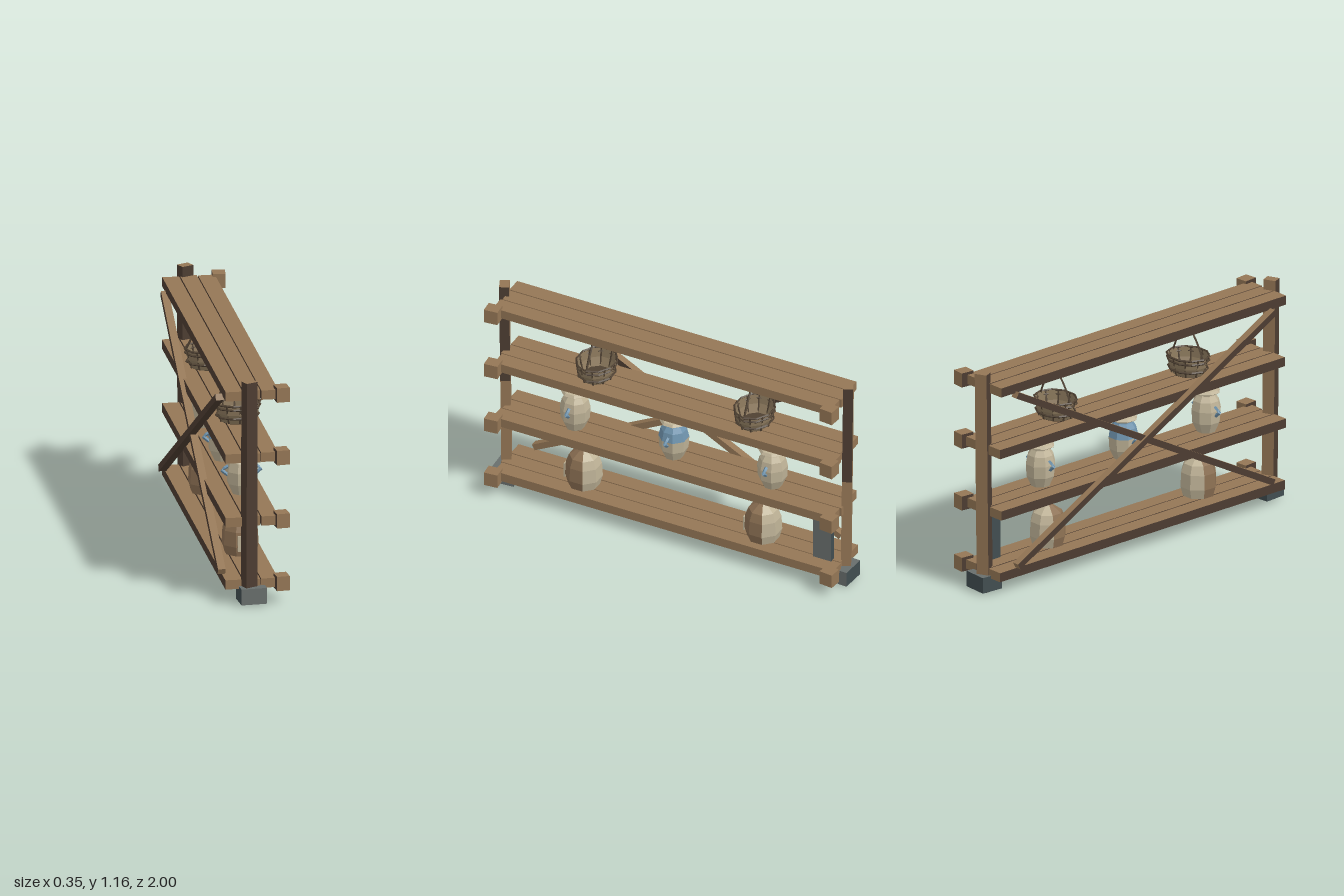
import * as THREE from 'three';

const mat = (name, color, side = THREE.FrontSide) =>
  Object.assign(new THREE.MeshStandardMaterial({ color, flatShading: true, side }), { name });

export function createModel() {
  const root = new THREE.Group();
  const wood = mat('timber', 0x947655);
  const darkWood = mat('darkTimber', 0x4c3c31);
  const stone = mat('greyStone', 0x686e6c);
  const slate = mat('darkSlate', 0x414d50);
  const clay = mat('creamClay', 0xbfb397, THREE.DoubleSide);
  const blue = mat('blueGlaze', 0x6f94ae, THREE.DoubleSide);
  const sack = mat('sackcloth', 0x8c7053, THREE.DoubleSide);
  const wicker = mat('wicker', 0x8c795d, THREE.DoubleSide);
  const darkWicker = mat('darkWicker', 0x4f4132, THREE.DoubleSide);

  const add = (parent, name, geometry, material, x = 0, y = 0, z = 0) => {
    const m = new THREE.Mesh(geometry, material);
    m.name = name;
    m.position.set(x, y, z);
    parent.add(m);
    return m;
  };
  const group = (name, x, y, z) => {
    const g = new THREE.Group();
    g.name = name;
    g.position.set(x, y, z);
    root.add(g);
    return g;
  };
  const box = (w, h, d) => new THREE.BoxGeometry(w, h, d);
  const lathe = (pts, n = 8, start = Math.PI / 8, length = Math.PI * 2) =>
    new THREE.LatheGeometry(pts.map(p => new THREE.Vector2(...p)), n, start, length);

  // Box face colours, in the order +x, -x, +y, -y, +z, -z
  const board = [wood, darkWood, wood, darkWood, wood, wood];
  const boardDark = [darkWood, darkWood, wood, darkWood, wood, wood];
  const postUpper = [darkWood, darkWood, wood, wood, darkWood, wood];
  const postLower = [wood, darkWood, wood, wood, darkWood, wood];
  const footStone = [stone, slate, stone, slate, stone, slate];

  // Shelves: three planks each, with square end blocks along the +x edge
  [0.1, 0.425, 0.753, 1.078].forEach((y, i) => {
    [-0.1, -0.01, 0.079].forEach((x, j) => {
      add(root, 'shelfPlank', box(0.084, 0.048, 1.89), board, x, y, ((i + j) % 2) * 0.008 - 0.004);
    });
    for (const s of [-1, 1]) {
      add(root, 'endBlock', box(0.065, 0.074, 0.072), board, 0.14, y + 0.002, s * 0.937).rotation.y = s * 0.1;
    }
  });

  // Posts turned on their axis, in two lengths with differently stained faces, on stone feet
  for (const s of [-1, 1]) {
    const post = group('post', -0.024, 0, s * 0.945);
    post.rotation.x = s * 0.012;
    add(post, 'lowerPost', box(0.064, 0.59, 0.05), postLower, 0, 0.3, 0).rotation.y = 0.42;
    add(post, 'upperPost', box(0.064, 0.56, 0.05), postUpper, 0, 0.875, 0).rotation.y = 0.42;
    add(root, 'foot', box(0.13, 0.082, 0.12), footStone, -0.01, 0.049, s * 0.935).rotation.y = s * 0.07;
    add(root, 'footPad', box(0.07, 0.012, 0.07), darkWood, -0.024, 0.006, s * 0.935);
  }

  // Crossed braces behind the shelves, the upper halves stained darker
  for (const s of [-1, 1]) {
    const brace = group('crossBrace', s < 0 ? -0.157 : -0.146, 0.595, 0);
    brace.rotation.x = s * Math.atan2(0.91, 1.71);
    add(brace, 'braceUpper', box(0.038, 0.033, 0.965), boardDark, 0, 0, -s * 0.4825);
    add(brace, 'braceLower', box(0.038, 0.033, 0.965), board, 0, 0, s * 0.4825);
  }

  // Stone slab beside one post
  add(root, 'stoneSlab', box(0.03, 0.24, 0.1), footStone, 0.035, 0.245, -0.85);

  // Lidded jars with two angular side handles; the middle one has a glazed shoulder
  for (const z of [-0.55, 0, 0.55]) {
    const jar = group('jar', 0.004, 0.449, z);
    add(jar, 'jarBody', lathe([[0, 0], [0.048, 0], [0.073, 0.055], [0.077, 0.118]]), clay);
    add(jar, 'jarShoulder', lathe([[0.077, 0.118], [0.066, 0.165], [0.048, 0.19], [0.04, 0.205]]), z === 0 ? blue : clay);
    add(jar, 'jarLid', lathe([[0, 0.2], [0.055, 0.2], [0.072, 0.21], [0.062, 0.222], [0.034, 0.23], [0.028, 0.248], [0, 0.252]]), clay);
    for (const s of [-1, 1]) {
      const path = new THREE.CurvePath();
      const pts = [[0.066, 0.142], [0.1, 0.122], [0.07, 0.096]].map(p => new THREE.Vector3(s * p[0], p[1], 0));
      path.add(new THREE.LineCurve3(pts[0], pts[1]));
      path.add(new THREE.LineCurve3(pts[1], pts[2]));
      add(jar, 'jarHandle', new THREE.TubeGeometry(path, 4, 0.009, 4), blue);
    }
  }

  // Tied sacks, pale cloth at the back, with a patch at the front
  const sackProfile = [[0, 0], [0.08, 0], [0.094, 0.05], [0.09, 0.125], [0.074, 0.17], [0.032, 0.2], [0.018, 0.212], [0.036, 0.245]];
  for (const z of [-0.5, 0.5]) {
    const bag = group('sack', 0.006, 0.125, z);
    add(bag, 'sackFront', lathe(sackProfile, 5, Math.PI * 1.375, Math.PI * 1.25), sack);
    add(bag, 'sackBack', lathe(sackProfile, 3, Math.PI * 0.625, Math.PI * 0.75), clay);
    add(bag, 'sackTie', new THREE.CylinderGeometry(0.023, 0.023, 0.012, 8), sack, 0, 0.21, 0);
    add(bag, 'sackPatch', box(0.065, 0.08, 0.008), clay, 0.006, 0.07, 0.09);
  }

  // Oval baskets: flat-sided bowl, protruding hoops and an arched handle
  for (const z of [-0.45, 0.43]) {
    const basket = group('basket', 0.004, 0.785, z);
    const bowl = new THREE.Group();
    bowl.name = 'basketBowl';
    bowl.scale.z = 0.86;
    basket.add(bowl);
    add(bowl, 'basketShell', lathe([[0.084, 0.003], [0.106, 0.05], [0.112, 0.1]], 10, 0), wicker);
    add(bowl, 'basketBase', new THREE.CylinderGeometry(0.084, 0.08, 0.008, 10), darkWicker, 0, 0.004, 0);
    for (const [r, y] of [[0.108, 0.034], [0.115, 0.08], [0.116, 0.1]]) {
      add(bowl, 'basketHoop', new THREE.TorusGeometry(r, 0.006, 4, 10).rotateX(Math.PI / 2), darkWicker, 0, y, 0);
    }
    // Slim uprights at the corners
    for (let i = 0; i < 10; i++) {
      const a = i / 10 * Math.PI * 2;
      const stave = add(bowl, 'basketStave', box(0.008, 0.1, 0.006), darkWicker, Math.sin(a) * 0.102, 0.054, Math.cos(a) * 0.102);
      stave.rotation.order = 'YXZ';
      stave.rotation.set(0.25, a, 0);
    }
    const arch = new THREE.CatmullRomCurve3(
      [[-0.113, 0.09], [-0.075, 0.165], [-0.02, 0.23], [0.03, 0.23], [0.08, 0.165], [0.113, 0.09]]
        .map(p => new THREE.Vector3(p[0], p[1], 0)));
    add(basket, 'basketHandle', new THREE.TubeGeometry(arch, 10, 0.006, 4), darkWicker);
  }

  return root;
}
